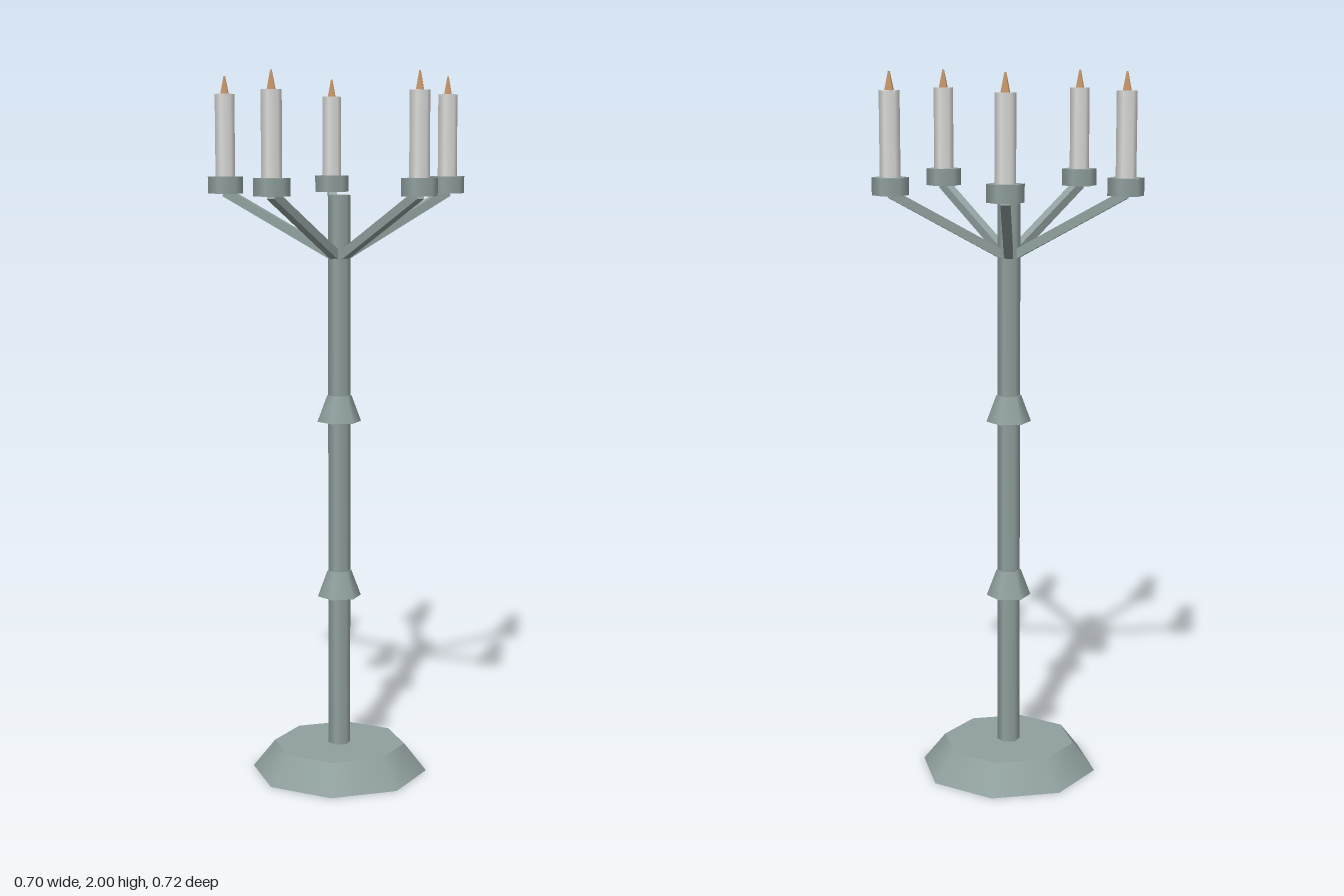
import * as THREE from 'three';

const metal = new THREE.MeshStandardMaterial({ color: 0x90a09e });
metal.name = 'grey green metal';
const wax = new THREE.MeshStandardMaterial({ color: 0xdcdcda });
wax.name = 'pale wax';
const glow = new THREE.MeshStandardMaterial({ color: 0xcc9a6c });
glow.name = 'tan flame';

// Tapered prism standing from y0 to y1, with a corner on the x axis
function prism(name, material, rTop, rBottom, y0, y1, sides) {
  const geometry = new THREE.CylinderGeometry(rTop, rBottom, y1 - y0, sides);
  geometry.rotateY(Math.PI / 2);
  geometry.translate(0, (y0 + y1) / 2, 0);
  const mesh = new THREE.Mesh(geometry, material);
  mesh.name = name;
  return mesh;
}

export function createModel() {
  const model = new THREE.Group();
  model.name = 'candelabra';
  model.position.x = -0.033;

  // Foot, pole and the two collars
  model.add(prism('base', metal, 0.19, 0.254, 0, 0.08, 8));
  model.add(prism('pole', metal, 0.032, 0.032, 0.08, 1.67, 6));
  for (const y of [0.52, 1.03]) {
    model.add(prism('collar', metal, 0.035, 0.063, y, y + 0.075, 6));
  }

  // Five branches, each with an arm, cup, candle and flame
  const reach = 0.333, armBottom = 1.491, armTop = 1.676;
  const rise = armTop - armBottom;
  for (let i = 0; i < 5; i++) {
    const angle = (i * Math.PI * 2) / 5;

    const armGeometry = new THREE.BoxGeometry(Math.hypot(reach, rise), 0.025, 0.025);
    armGeometry.rotateZ(Math.atan2(rise, reach));
    armGeometry.translate(reach / 2, (armBottom + armTop) / 2, 0);
    const arm = new THREE.Mesh(armGeometry, metal);
    arm.name = 'arm';
    arm.rotation.y = angle;
    model.add(arm);

    const holder = new THREE.Group();
    holder.name = 'candleHolder';
    holder.position.set(reach * Math.cos(angle), 0, -reach * Math.sin(angle));
    holder.add(prism('cup', metal, 0.05, 0.05, 1.672, 1.72, 6));
    holder.add(prism('candle', wax, 0.028, 0.028, 1.72, 1.95, 6));
    holder.add(prism('flame', glow, 0.003, 0.015, 1.95, 2, 4));
    model.add(holder);
  }

  const root = new THREE.Group();
  root.add(model);
  return root;
}
